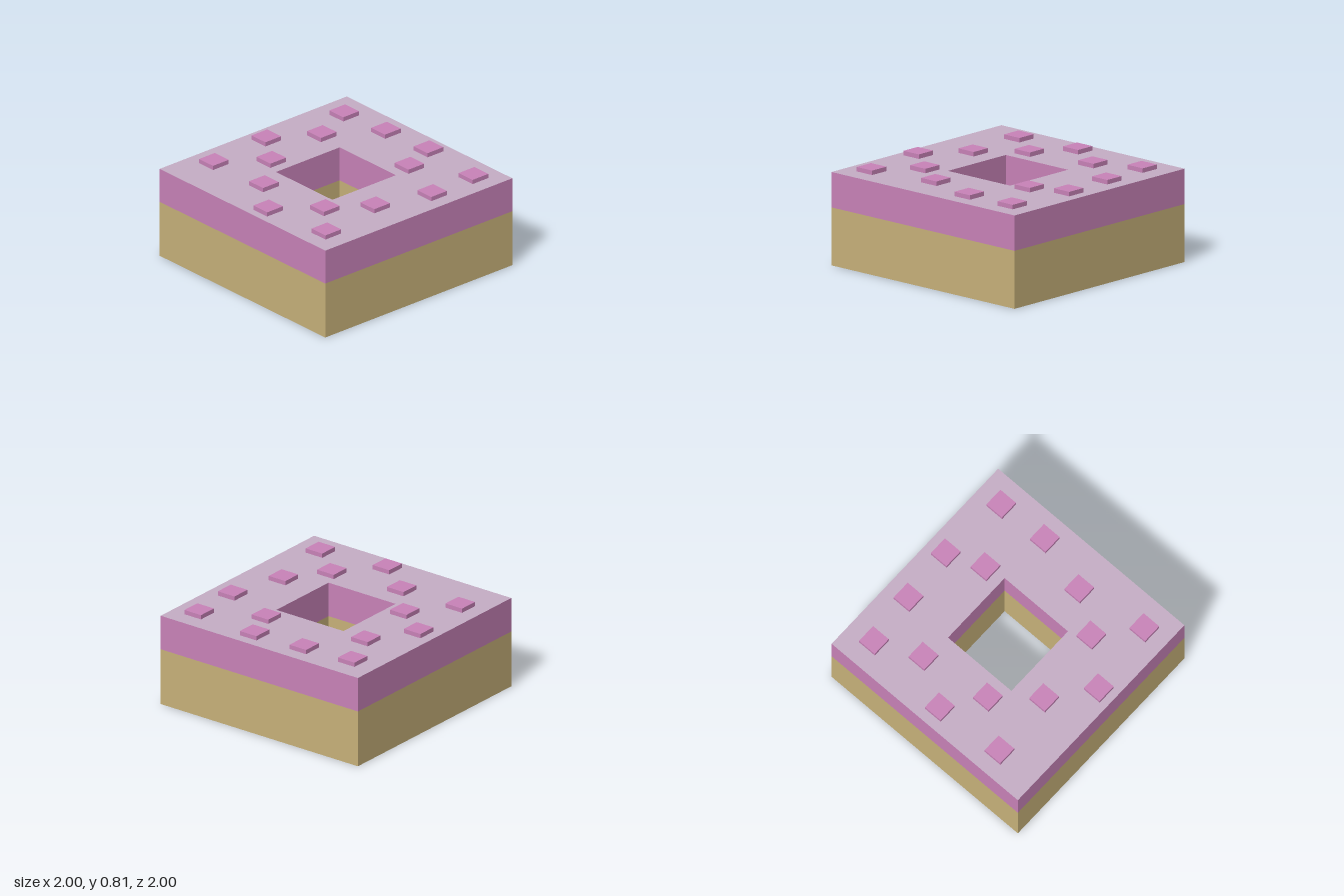
import * as THREE from 'three';

const HALF = 1, HOLE = 0.34;      // half widths of block and hole
const SPLIT = 0.48, TOP = 0.773;  // top of the cake, top of the icing

const mat = (name, color) => {
  const m = new THREE.MeshStandardMaterial({ color });
  m.name = name;
  return m;
};

export function createModel() {
  const group = new THREE.Group();
  const cake = mat('cake tan', 0xc8b27a);
  const icing = mat('icing pink', 0xc983b9);
  const glaze = mat('pale glaze', 0xc6aec6);

  const add = (name, geometry, material, parent = group) => {
    const mesh = new THREE.Mesh(geometry, material);
    mesh.name = name;
    parent.add(mesh);
    return mesh;
  };

  // Outer and inner walls of one layer
  const walls = (name, y0, y1, material) => {
    const layer = new THREE.Group();
    layer.name = name;
    for (let i = 0; i < 4; i++) {
      const turn = i * Math.PI / 2;
      const outer = new THREE.PlaneGeometry(2 * HALF, y1 - y0)
        .translate(0, (y0 + y1) / 2, HALF).rotateY(turn);
      const inner = new THREE.PlaneGeometry(2 * HOLE, y1 - y0)
        .translate(0, (y0 + y1) / 2, -HOLE).rotateY(turn);
      add('outerWall', outer, material, layer);
      add('holeWall', inner, material, layer);
    }
    group.add(layer);
  };
  walls('cakeLayer', 0, SPLIT, cake);
  walls('icingLayer', SPLIT, TOP, icing);

  // Square faces with the hole cut out
  const square = (Type, r) => new Type([[-r, -r], [r, -r], [r, r], [-r, r]]
    .map(([x, y]) => new THREE.Vector2(x, y)));
  const ring = square(THREE.Shape, HALF);
  ring.holes.push(square(THREE.Path, HOLE));
  add('glazedTop', new THREE.ShapeGeometry(ring).rotateX(-Math.PI / 2), glaze).position.y = TOP;
  add('underside', new THREE.ShapeGeometry(ring).rotateX(Math.PI / 2), cake);

  // Scattered sprinkles, as x and z positions
  const sprinkle = new THREE.BoxGeometry(0.168, 0.037, 0.168);
  [
    [-0.61, -0.785], [-0.01, -0.83], [0.76, -0.76], [0.375, -0.595], [-0.24, -0.51],
    [-0.58, -0.215], [0.8, -0.3], [-0.85, 0.14], [0.83, 0.18], [0.515, 0.305],
    [-0.505, 0.435], [-0.17, 0.665], [-0.78, 0.765], [0.32, 0.8], [0.775, 0.785],
  ].forEach(([x, z]) => add('sprinkle', sprinkle, icing).position.set(x, TOP + 0.0185, z));

  return group;
}
